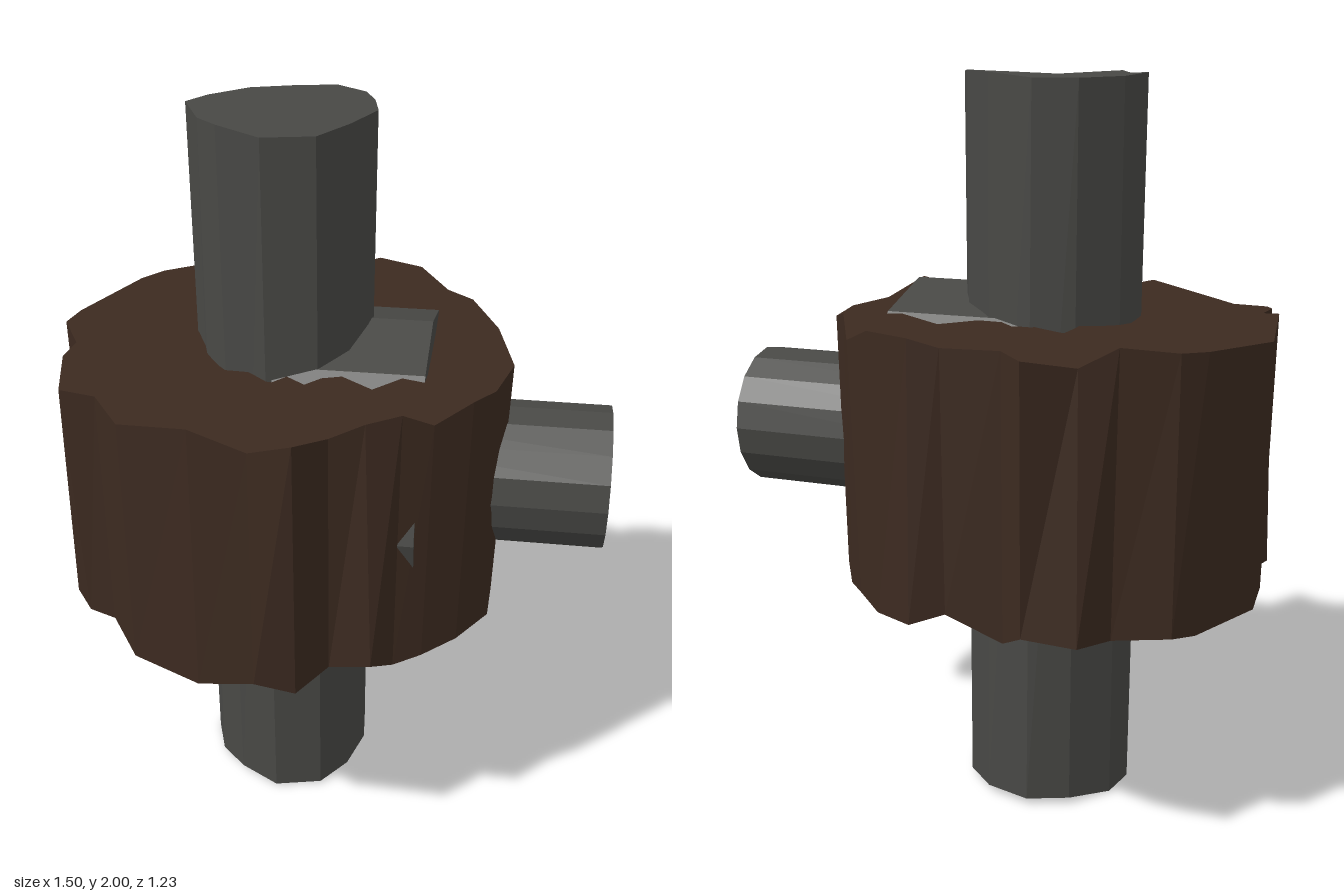
import * as THREE from 'three';

const AXIS_X = -0.14, AXLE_Y = 1.005;

// Small seeded noise in -1..1
function noise(seed) {
  let s = seed;
  return () => {
    s = (s * 16807) % 2147483647;
    return (s / 2147483647) * 2 - 1;
  };
}

// Rough-hewn upright prism. Each corner: x, z of the top, and how far the foot spreads.
function hewnPrism(corners, y0, y1, rough, seed) {
  const rnd = noise(seed), pos = [], idx = [], n = corners.length;
  for (const [x, z, spread] of corners) {
    pos.push(AXIS_X + (x - AXIS_X) * spread, y0 + rough * rnd(), z * spread);
    pos.push(x, y1 + rough * rnd(), z);
  }
  pos.push(AXIS_X, y0, 0, AXIS_X, y1, 0);
  for (let i = 0; i < n; i++) {
    const b = 2 * i, t = b + 1, bn = 2 * ((i + 1) % n), tn = bn + 1;
    idx.push(b, bn, tn, b, tn, t, 2 * n, bn, b, 2 * n + 1, t, tn);
  }
  const g = new THREE.BufferGeometry();
  g.setAttribute('position', new THREE.Float32BufferAttribute(pos, 3));
  g.setIndex(idx);
  const faceted = g.toNonIndexed();
  faceted.computeVertexNormals();
  // The wavy end caps are shaded as if level
  const normal = faceted.attributes.normal;
  for (let i = 0; i < n; i++) {
    for (let k = 0; k < 3; k++) {
      normal.setXYZ(12 * i + 6 + k, 0, -1, 0);
      normal.setXYZ(12 * i + 9 + k, 0, 1, 0);
    }
  }
  return faceted;
}

// Cylinder lying along x, with a corner at the top
function crossCylinder(radius, x0, x1, sides) {
  const g = new THREE.CylinderGeometry(radius, radius, x1 - x0, sides);
  g.rotateZ(-Math.PI / 2);
  g.translate((x0 + x1) / 2, AXLE_Y, 0);
  return g;
}

export function createModel() {
  const group = new THREE.Group();
  const wood = new THREE.MeshStandardMaterial({ color: 0x3c2a20 });
  const metal = new THREE.MeshStandardMaterial({ color: 0x484845 });
  const facetedMetal = new THREE.MeshStandardMaterial({ color: 0x484845, flatShading: true });
  const add = (name, geometry, material) => {
    const mesh = new THREE.Mesh(geometry, material);
    mesh.name = name;
    group.add(mesh);
  };

  // Chipped wooden drum
  const drum = [
    [0.48, 0.03, 0.96], [0.43, -0.18, 0.98], [0.35, -0.30, 1.0], [0.27, -0.45, 0.97],
    [0.185, -0.515, 0.98], [0.055, -0.57, 1.02], [-0.025, -0.56, 0.98], [-0.185, -0.575, 0.97],
    [-0.245, -0.615, 0.96], [-0.36, -0.53, 1.1], [-0.445, -0.475, 0.96], [-0.58, -0.425, 1.0],
    [-0.635, -0.365, 0.98], [-0.75, -0.135, 0.97], [-0.735, 0.035, 0.98], [-0.68, 0.125, 0.98],
    [-0.69, 0.21, 1.04], [-0.655, 0.36, 0.96], [-0.555, 0.38, 1.0], [-0.465, 0.505, 1.0],
    [-0.275, 0.565, 1.02], [-0.125, 0.59, 1.025], [-0.015, 0.61, 0.97], [0.055, 0.505, 1.0],
    [0.14, 0.475, 1.09], [0.225, 0.437, 0.97], [0.30, 0.405, 0.97], [0.39, 0.345, 0.97],
    [0.44, 0.19, 1.02],
  ];
  add('drum', hewnPrism(drum, 0.655, 1.36, 0.03, 77), wood);

  // Uneven vertical shaft
  const shaft = [
    [0.105, -0.015, 0.93], [0.09, -0.075, 0.97], [0.06, -0.135, 1.0], [-0.025, -0.21, 1.03],
    [-0.145, -0.235, 1.06], [-0.255, -0.20, 1.0], [-0.345, -0.10, 1.0], [-0.38, 0, 0.96],
    [-0.325, 0.11, 1.04], [-0.26, 0.20, 0.97], [-0.145, 0.245, 1.0], [-0.015, 0.215, 1.0],
    [0.055, 0.135, 1.0],
  ];
  add('shaft', hewnPrism(shaft, 0.012, 1.988, 0.012, 41), metal);

  // Wide hub on the axle, showing through the drum's faces
  add('hub', crossCylinder(0.432, -0.13, 0.26, 12), facetedMetal);

  // Side axle
  add('axle', crossCylinder(0.197, 0, 0.75, 16), facetedMetal);

  return group;
}
